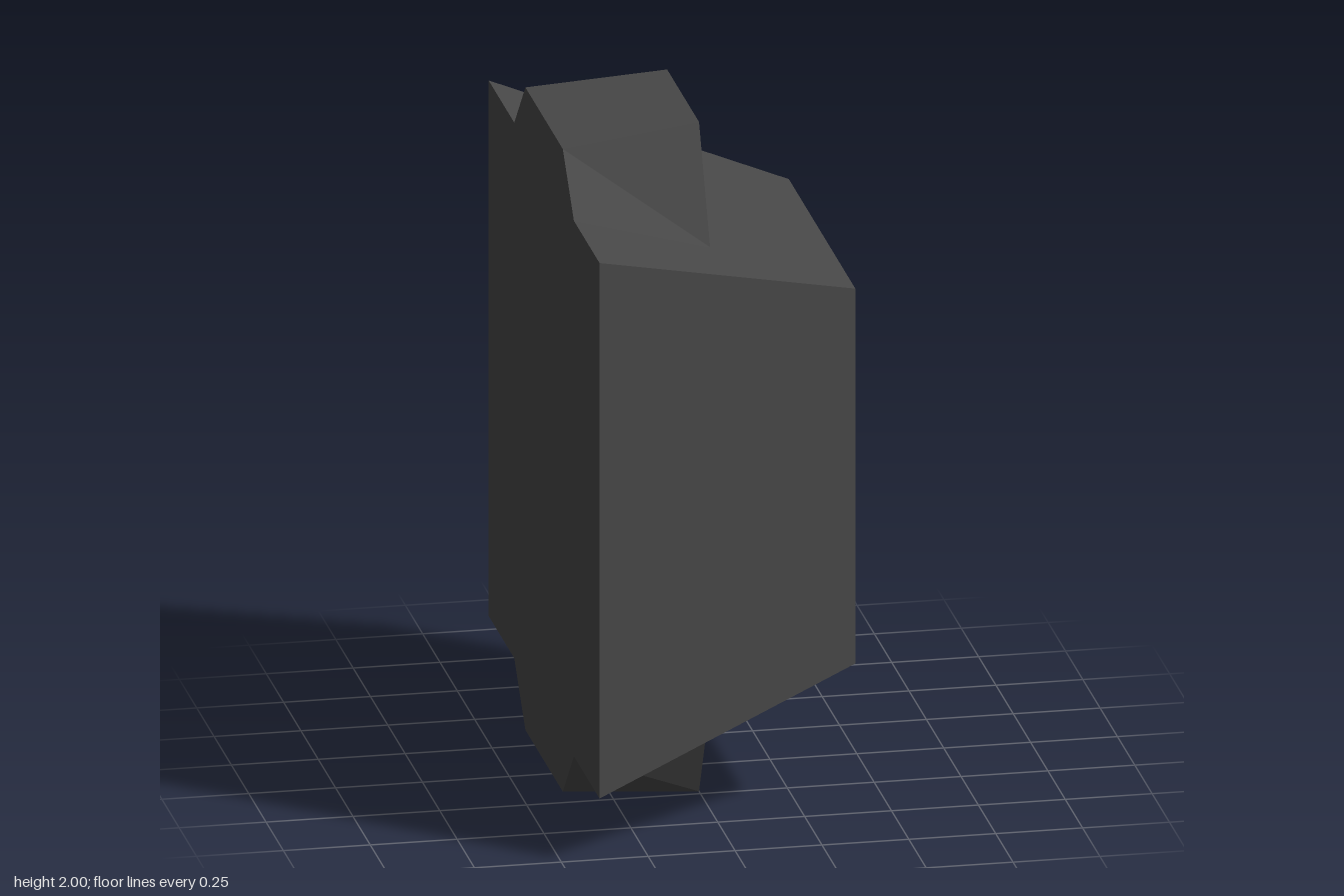
import * as THREE from 'three';

const material = new THREE.MeshStandardMaterial({ color: 0x484848, flatShading: true });

// Four corners at depth x: half width zl at height yl, half width zh at height yh
const quad = (x, yl, zl, yh, zh, zc = 0) => [
  [x, yl, zc + zl], [x, yl, zc - zl], [x, yh, zc - zh], [x, yh, zc + zh],
];

// Flat-shaded skin through successive four-cornered sections, with optional end caps
function loft(name, sections, capStart, capEnd) {
  const pos = [];
  const face = (a, b, c, d) => [a, b, c, a, c, d].forEach((p) => pos.push(...p));
  for (let s = 0; s < sections.length - 1; s++) {
    const a = sections[s], b = sections[s + 1];
    for (let i = 0; i < 4; i++) {
      const j = (i + 1) % 4;
      face(a[i], a[j], b[j], b[i]);
    }
  }
  if (capStart) face(...[...sections[0]].reverse());
  if (capEnd) face(...sections[sections.length - 1]);
  const geo = new THREE.BufferGeometry();
  geo.setAttribute('position', new THREE.Float32BufferAttribute(pos, 3));
  geo.computeVertexNormals();
  const mesh = new THREE.Mesh(geo, material);
  mesh.name = name;
  return mesh;
}

const rectangle = (path, z, hw, y0, y1) => {
  path.moveTo(z - hw, y0);
  path.lineTo(z + hw, y0);
  path.lineTo(z + hw, y1);
  path.lineTo(z - hw, y1);
  path.closePath();
  return path;
};

function handle(name) {
  // Outer block from the back plate forward, then the rim and the hollow grip
  return loft(name, [
    quad(-0.4, 1.8, 0.43, 1.96, 0.27),
    quad(0, 1.68, 0.39, 2, 0.23),
    quad(0, 1.68, 0.29, 1.91, 0.19),
    quad(-0.2, 1.68, 0.29, 1.91, 0.19),
  ], true, true);
}

export function createModel() {
  const model = new THREE.Group();
  model.name = 'wallHousing';

  // Tapered body
  model.add(loft('body', [
    quad(-0.4, 0.2, 0.8, 1.8, 0.8),
    quad(0.4, 0.44, 0.48, 1.56, 0.48),
  ], true, false));

  // Front plate with two slot openings
  const plate = rectangle(new THREE.Shape(), 0, 0.48, 0.44, 1.56);
  for (const side of [-1, 1]) {
    const z = side * 0.28;
    plate.holes.push(rectangle(new THREE.Path(), z, 0.093, 0.52, 1.48));
    // Slot walls narrowing in height toward the back
    model.add(loft(side > 0 ? 'leftSlot' : 'rightSlot', [
      quad(0.4, 0.52, 0.093, 1.48, 0.093, z),
      quad(-0.2, 0.84, 0.093, 1.16, 0.093, z),
    ], false, true));
  }
  const frontPlate = new THREE.Mesh(
    new THREE.ShapeGeometry(plate).rotateY(Math.PI / 2).translate(0.4, 0, 0), material);
  frontPlate.name = 'slottedPlate';
  model.add(frontPlate);

  // Handles above and below
  model.add(handle('topHandle'));
  const lower = handle('bottomHandle');
  lower.rotation.x = Math.PI;
  lower.position.y = 2;
  model.add(lower);

  return model;
}
